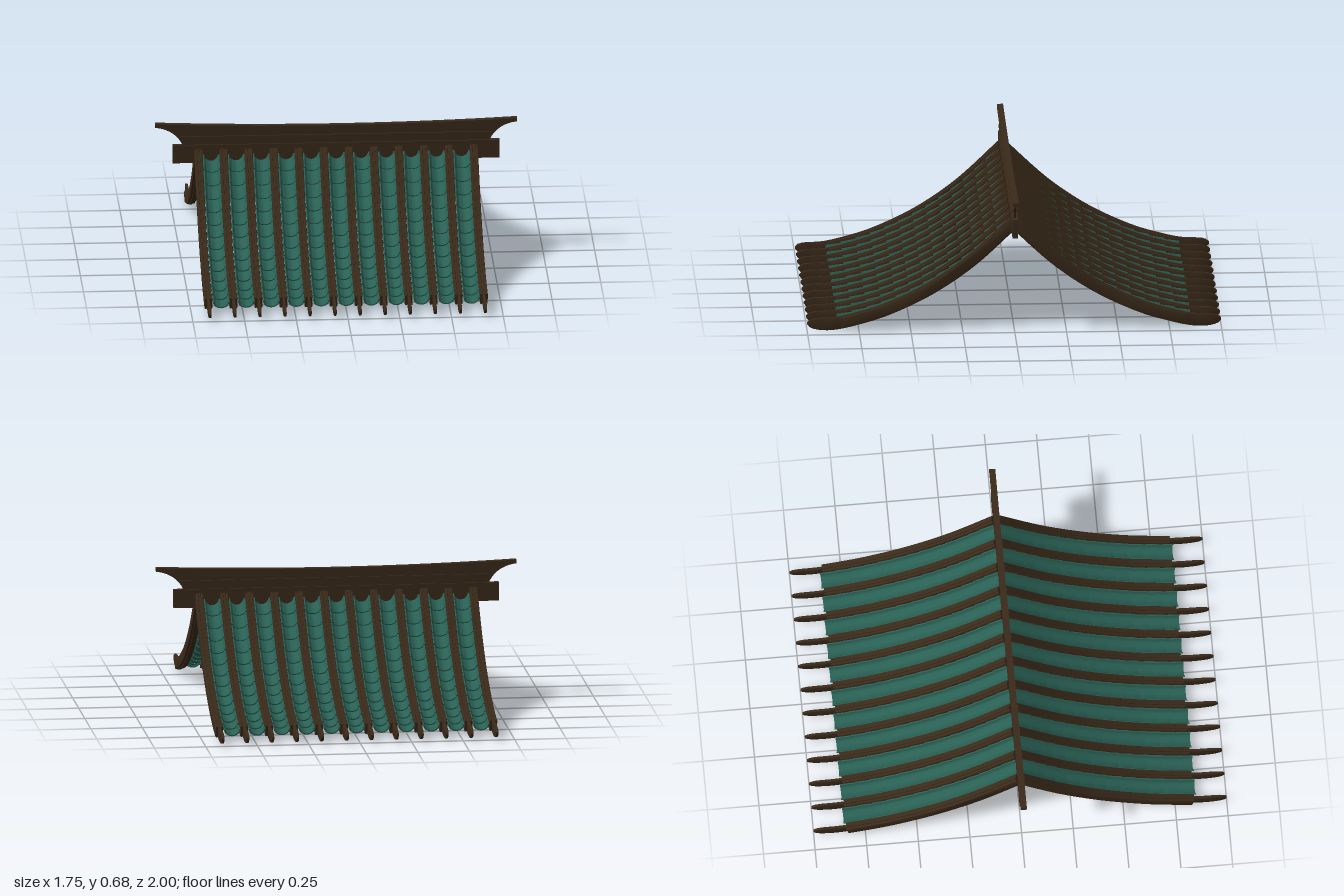
import * as THREE from 'three';
import { toCreasedNormals } from 'three/addons/utils/BufferGeometryUtils.js';

const wood = new THREE.MeshStandardMaterial({ color: 0x3a2a1a });
const glaze = new THREE.MeshStandardMaterial({ color: 0x2a6155, side: THREE.DoubleSide });

const BAYS = 11, SPACING = 0.121, ROWS = 13;

// Sagging roof slope, stored as (z, y)
const slope = new THREE.SplineCurve([
  [0, 0.535], [0.2, 0.347], [0.4, 0.207], [0.6, 0.109], [0.75, 0.06], [0.88, 0.033], [1, 0.037],
].map(([z, y]) => new THREE.Vector2(z, y)));

function add(parent, geometry, material, name) {
  const mesh = new THREE.Mesh(geometry, material);
  mesh.name = name;
  parent.add(mesh);
  return mesh;
}

// Extrudes a shape symmetrically about its plane, with a small bevel
function slab(shape, thickness, bevel) {
  const g = new THREE.ExtrudeGeometry(shape, {
    depth: thickness - 2 * bevel, bevelEnabled: bevel > 0, bevelThickness: bevel,
    bevelSize: bevel, bevelOffset: -bevel, bevelSegments: 2, curveSegments: 12,
  });
  g.translate(0, 0, -(thickness - 2 * bevel) / 2);
  return toCreasedNormals(g, 0.6);
}

// Board that follows the slope down to zEnd; half(z) is half its depth
function slopeBoard(zEnd, half, width, bevel) {
  const upper = [], lower = [];
  const n = 36;
  for (let i = 0; i <= n; i++) {
    const p = slope.getPoint(i / n), t = slope.getTangent(i / n);
    if (p.x > zEnd) break;
    const h = half(p.x);
    upper.push(new THREE.Vector2(Math.max(0, p.x - t.y * h), p.y + t.x * h));
    lower.push(new THREE.Vector2(Math.max(0, p.x + t.y * h), p.y - t.x * h));
  }
  const shape = new THREE.Shape([...lower, ...upper.reverse()]);
  const g = slab(shape, width, bevel);
  g.rotateY(-Math.PI / 2);
  return g;
}

// Trough-shaped tile, running down +z from its upper end
function tileGeometry(length) {
  const w = 0.04, sag = 0.034, thick = 0.006, n = 10;
  const arc = (rx, ry, i) => {
    const a = Math.PI * (i / n);
    return new THREE.Vector2(-rx * Math.cos(a), -ry * Math.sin(a));
  };
  const pts = [];
  for (let i = 0; i <= n; i++) pts.push(arc(w, sag, i));
  for (let i = n; i >= 0; i--) pts.push(arc(w - thick, sag - thick, i));
  const g = new THREE.ExtrudeGeometry(new THREE.Shape(pts), { depth: length, bevelEnabled: false });
  return toCreasedNormals(g, 0.7);
}

// Ridge strip whose ends sweep gently upward
function sweptStrip(halfLength, y0, height, depth, lift) {
  const g = new THREE.BoxGeometry(2 * halfLength, height, depth, 24, 1, 1);
  const p = g.attributes.position;
  for (let i = 0; i < p.count; i++) {
    p.setY(i, p.getY(i) + y0 + height / 2 + lift * (p.getX(i) / 0.875) ** 2);
  }
  g.computeVertexNormals();
  return g;
}

function buildRoofSide() {
  const side = new THREE.Group();

  // Rafters: a long central plate with a rounded tail, and a rail on each flank
  const tail = z => 0.031 * Math.sqrt(Math.max(0.02, 1 - Math.max(0, (z - 0.86) / 0.14) ** 4));
  const plate = slopeBoard(1, tail, 0.012, 0.002);
  const rail = slopeBoard(0.85, () => 0.027, 0.013, 0.004);
  for (let i = 0; i <= BAYS; i++) {
    const rafter = new THREE.Group();
    rafter.name = 'rafter';
    rafter.position.x = (i - BAYS / 2) * SPACING;
    add(rafter, plate, wood, 'rafterPlate');
    for (const s of [-1, 1]) add(rafter, rail, wood, 'rafterRail').position.x = s * 0.0125;
    side.add(rafter);
  }

  // Overlapping tile rows in every bay; lower ends ride over the next tile
  const steps = slope.getSpacedPoints(200).filter(p => p.x >= 0.015 && p.x <= 0.85);
  const stops = [];
  for (let r = 0; r <= ROWS; r++) stops.push(steps[Math.round(r * (steps.length - 1) / ROWS)]);
  const tile = tileGeometry(stops[0].distanceTo(stops[1]) + 0.008);
  for (let b = 0; b < BAYS; b++) {
    const column = new THREE.Group();
    column.name = 'tileColumn';
    column.position.x = (b - (BAYS - 1) / 2) * SPACING;
    for (let r = 0; r < ROWS; r++) {
      const a = stops[r], c = stops[r + 1];
      const mesh = add(column, tile, glaze, 'roofTile');
      mesh.position.set(0, a.y + 0.009, a.x);
      mesh.rotation.x = Math.atan2(a.y - c.y, c.x - a.x) - 0.1;
    }
    side.add(column);
  }
  return side;
}

function buildRidge() {
  const ridge = new THREE.Group();
  ridge.name = 'ridge';

  // Base beam
  const beam = add(ridge, new THREE.BoxGeometry(1.58, 0.09, 0.026), wood, 'ridgeBeam');
  beam.position.y = 0.53;

  // Thin wall with flared, concave ends
  const wall = new THREE.Shape();
  wall.moveTo(-0.74, 0.57);
  wall.lineTo(0.74, 0.57);
  wall.quadraticCurveTo(0.775, 0.65, 0.87, 0.664);
  wall.quadraticCurveTo(0, 0.636, -0.87, 0.664);
  wall.quadraticCurveTo(-0.775, 0.65, -0.74, 0.57);
  add(ridge, slab(wall, 0.01, 0), wood, 'ridgeWall');

  // Mouldings and cap
  add(ridge, sweptStrip(0.755, 0.608, 0.01, 0.026, 0), wood, 'ridgeLedge');
  add(ridge, sweptStrip(0.8, 0.634, 0.014, 0.018, 0.016), wood, 'ridgeMoulding');
  add(ridge, sweptStrip(0.875, 0.646, 0.019, 0.03, 0.02), wood, 'ridgeCap');
  return ridge;
}

export function createModel() {
  const model = new THREE.Group();
  model.name = 'tiledRoof';
  const front = buildRoofSide();
  front.name = 'frontSlope';
  const back = front.clone();
  back.name = 'backSlope';
  back.rotation.y = Math.PI;
  model.add(front, back, buildRidge());
  return model;
}
